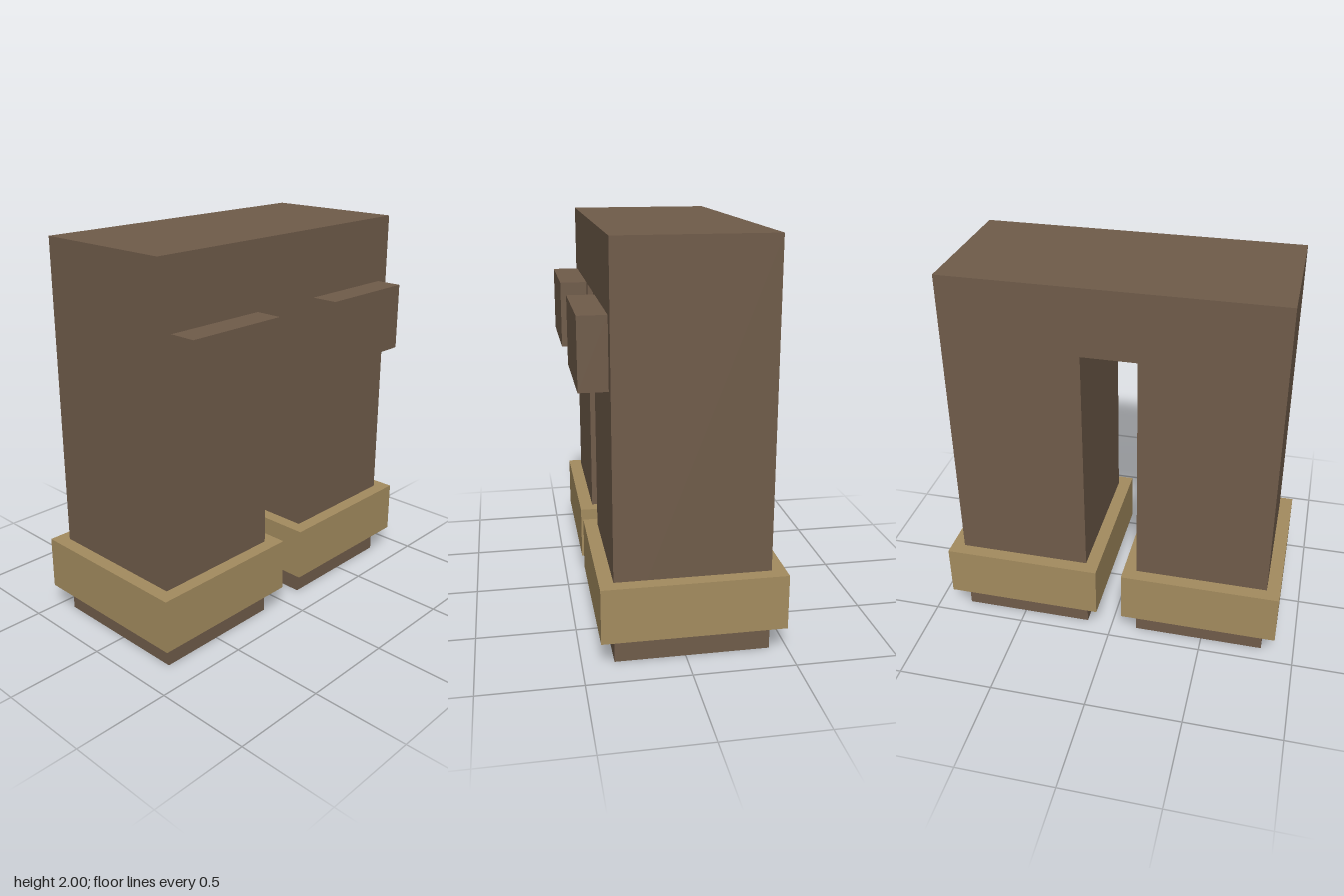
import * as THREE from 'three';

const U = 2 / 29; // modelling unit

export function createModel() {
  const model = new THREE.Group();
  model.name = 'trousers';
  const brown = new THREE.MeshStandardMaterial({ color: 0x705c4a });
  brown.name = 'brown cloth';
  const tan = new THREE.MeshStandardMaterial({ color: 0xa48c5f });
  tan.name = 'tan cuff';

  // Box from its min and max corners, in units
  const box = (name, material, [x0, y0, z0], [x1, y1, z1]) => {
    const geometry = new THREE.BoxGeometry((x1 - x0) * U, (y1 - y0) * U, (z1 - z0) * U);
    const mesh = new THREE.Mesh(geometry, material);
    mesh.position.set((x0 + x1) / 2 * U, (y0 + y1) / 2 * U, (z0 + z1) / 2 * U);
    mesh.name = name;
    model.add(mesh);
  };

  // Waist and both legs as one solid arch
  const outline = [[-12, 0], [-2, 0], [-2, 24], [2, 24], [2, 0], [12, 0], [12, 29], [-12, 29]];
  const shape = new THREE.Shape(outline.map(([x, y]) => new THREE.Vector2(x * U, y * U)));
  const body = new THREE.Mesh(
    new THREE.ExtrudeGeometry(shape, { depth: 11 * U, bevelEnabled: false }), brown);
  body.position.z = -6 * U;
  body.name = 'waistAndLegs';
  model.add(body);

  // Front pocket and ankle cuff on each leg
  for (const [side, s] of [['left', 1], ['right', -1]]) {
    const span = (a, b) => (s > 0 ? [a, b] : [-b, -a]);
    const [p0, p1] = span(3, 11);
    box(side + 'Pocket', brown, [p0, 19, 5], [p1, 24, 7]);

    // Cuff is a hollow ring around the leg
    const [c0, c1] = span(1, 13);
    const [l0, l1] = span(2, 12);
    box(side + 'CuffFront', tan, [c0, 2, 5], [c1, 6, 6]);
    box(side + 'CuffBack', tan, [c0, 2, -7], [c1, 6, -6]);
    box(side + 'CuffSideA', tan, [c0, 2, -6], [l0, 6, 5]);
    box(side + 'CuffSideB', tan, [l1, 2, -6], [c1, 6, 5]);
  }
  return model;
}
